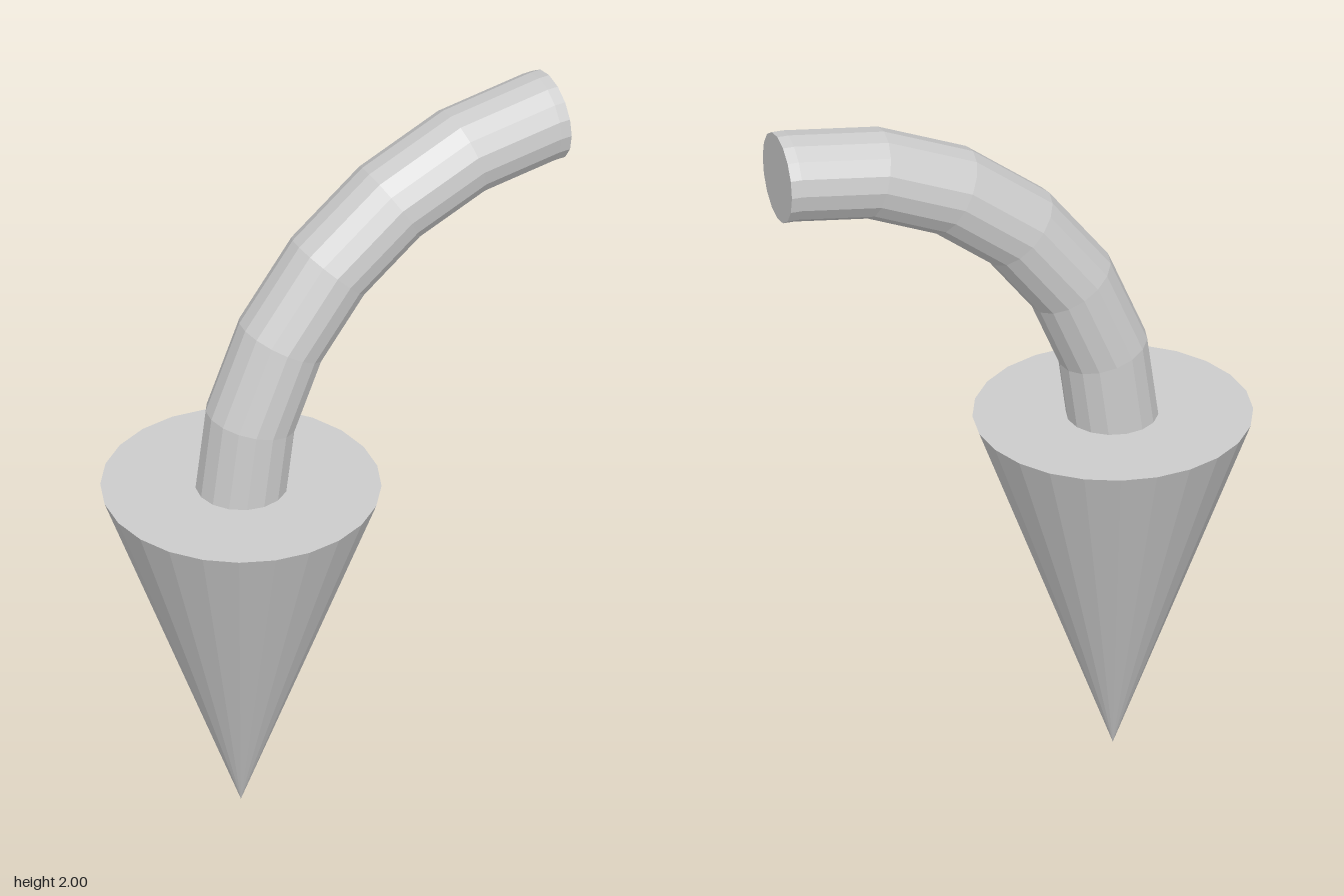
import * as THREE from 'three';

export function createModel() {
  const group = new THREE.Group();
  const material = new THREE.MeshStandardMaterial({ color: 0xcccccc, flatShading: true });

  const add = (name, geometry, x, y) => {
    const mesh = new THREE.Mesh(geometry, material);
    mesh.name = name;
    mesh.position.set(x, y, 0);
    group.add(mesh);
  };

  const coneRadius = 0.373, coneX = -0.282;
  const tubeRadius = 0.123, bendRadius = 0.908;
  const bendX = 0.624, bendY = 2 - tubeRadius - bendRadius;
  const endX = 0.655;

  // Arrow head: a cone pointing down, closed on top
  add('arrowHead', new THREE.CylinderGeometry(coneRadius, 0, 1, 24), coneX, 0.5);

  // Curved shaft: a quarter bend whose lower end sinks into the head
  add('curvedShaft', new THREE.TorusGeometry(bendRadius, tubeRadius, 16, 6, Math.PI / 2).rotateZ(Math.PI / 2), bendX, bendY);

  // Short straight end with its flat cap
  const length = endX - bendX;
  add('shaftEnd', new THREE.CylinderGeometry(tubeRadius, tubeRadius, length, 16).rotateZ(-Math.PI / 2),
    bendX + length / 2, bendY + bendRadius);

  return group;
}
